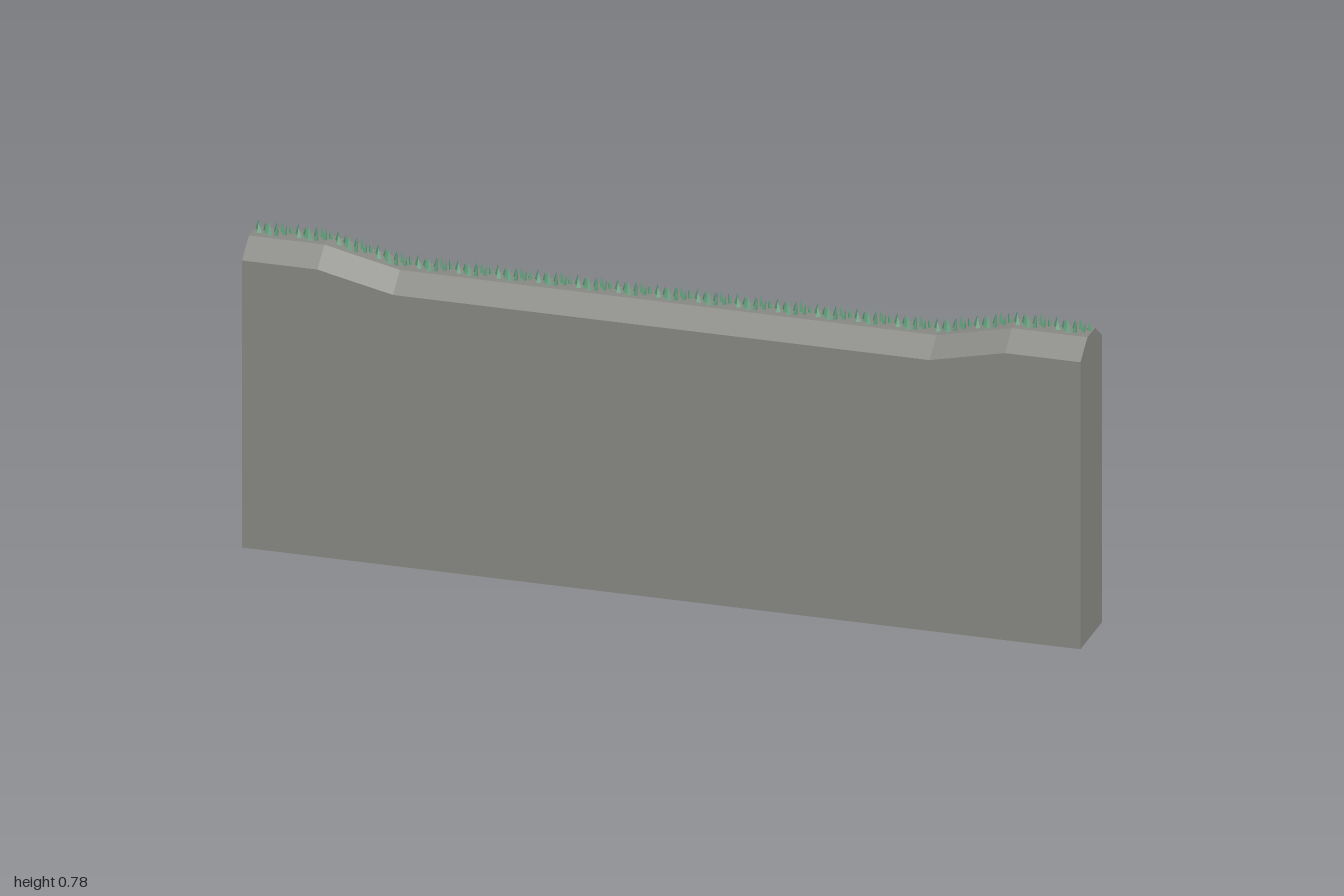
import * as THREE from 'three';
import { mergeGeometries } from 'three/addons/utils/BufferGeometryUtils.js';

// Height of the wall's crest along its length: raised ends, lower middle
const STATIONS = [[-1, 0.75], [-0.82, 0.75], [-0.64, 0.71], [0.64, 0.71], [0.82, 0.75], [1, 0.75]];

function crest(x) {
  const t = THREE.MathUtils.clamp((Math.abs(x) - 0.64) / 0.18, 0, 1);
  return 0.71 + 0.04 * t;
}

// Bevelled cross-section at a given station
function section([x, top]) {
  return [[0.083, 0], [-0.083, 0], [-0.083, top - 0.04], [-0.029, top], [0.029, top], [0.083, top - 0.04]]
    .map(([z, y]) => [x, y, z]);
}

function wallGeometry() {
  const pos = [];
  const tri = (a, b, c) => pos.push(...a, ...b, ...c);
  const rings = STATIONS.map(section);
  for (let s = 0; s < rings.length - 1; s++) {
    const p = rings[s], q = rings[s + 1];
    for (let i = 0; i < 6; i++) {
      const j = (i + 1) % 6;
      tri(p[i], p[j], q[j]);
      tri(p[i], q[j], q[i]);
    }
  }
  // End caps
  const first = rings[0], last = rings[rings.length - 1];
  for (let i = 1; i < 5; i++) {
    tri(first[0], first[i + 1], first[i]);
    tri(last[0], last[i], last[i + 1]);
  }
  const g = new THREE.BufferGeometry();
  g.setAttribute('position', new THREE.Float32BufferAttribute(pos, 3));
  g.computeVertexNormals();
  return g;
}

// One three-sided blade of grass, leaning towards its tip
function blade(x, z, height, radius, turn, leanX, leanZ) {
  const g = new THREE.ConeGeometry(radius, height, 3, 1, true).toNonIndexed();
  g.rotateY(turn);
  g.translate(0, height / 2, 0);
  const p = g.attributes.position;
  for (let i = 0; i < p.count; i++) {
    const t = p.getY(i) / height;
    p.setX(i, p.getX(i) + leanX * t);
    p.setZ(i, p.getZ(i) + leanZ * t);
  }
  g.translate(x, crest(x) - 0.001, z);
  g.computeVertexNormals();
  return g;
}

// Blades of one tuft: x offset, z, height, turn, lean in x, lean in z
const TUFT = [
  [-0.040, -0.012, 0.028, 0.3, 0.003, 0.002],
  [-0.030, 0.006, 0.024, 1.4, -0.003, -0.004],
  [-0.022, -0.013, 0.022, 2.2, 0.002, 0.003],
  [-0.014, 0.002, 0.027, 0.9, 0.004, -0.003],
  [-0.004, 0.015, 0.032, 1.8, -0.002, -0.008],
  [0.004, -0.011, 0.026, 0.1, 0.003, 0.002],
  [0.012, 0.010, 0.030, 2.7, 0.002, -0.006],
  [0.021, -0.012, 0.029, 1.1, -0.003, 0.001],
  [0.030, 0.001, 0.023, 0.6, 0.003, -0.003],
  [0.040, -0.010, 0.025, 2.0, -0.002, 0.003],
];

export function createModel() {
  const stone = new THREE.MeshStandardMaterial({ color: 0x878783 });
  stone.name = 'stone grey';
  const green = new THREE.MeshStandardMaterial({ color: 0x62a07d });
  green.name = 'grass green';

  const group = new THREE.Group();
  group.name = 'grassToppedWall';

  const wall = new THREE.Mesh(wallGeometry(), stone);
  wall.name = 'wall';

  // Repeat the tuft along the crest
  const blades = [];
  const count = 21, step = 2 / count;
  for (let k = 0; k < count; k++) {
    const cx = -1 + step * (k + 0.5);
    for (const [dx, z, h, turn, lx, lz] of TUFT) blades.push(blade(cx + dx, z, h, 0.0065, turn, lx, lz));
  }
  const grass = new THREE.Mesh(mergeGeometries(blades), green);
  grass.name = 'grass';

  group.add(wall, grass);
  return group;
}
